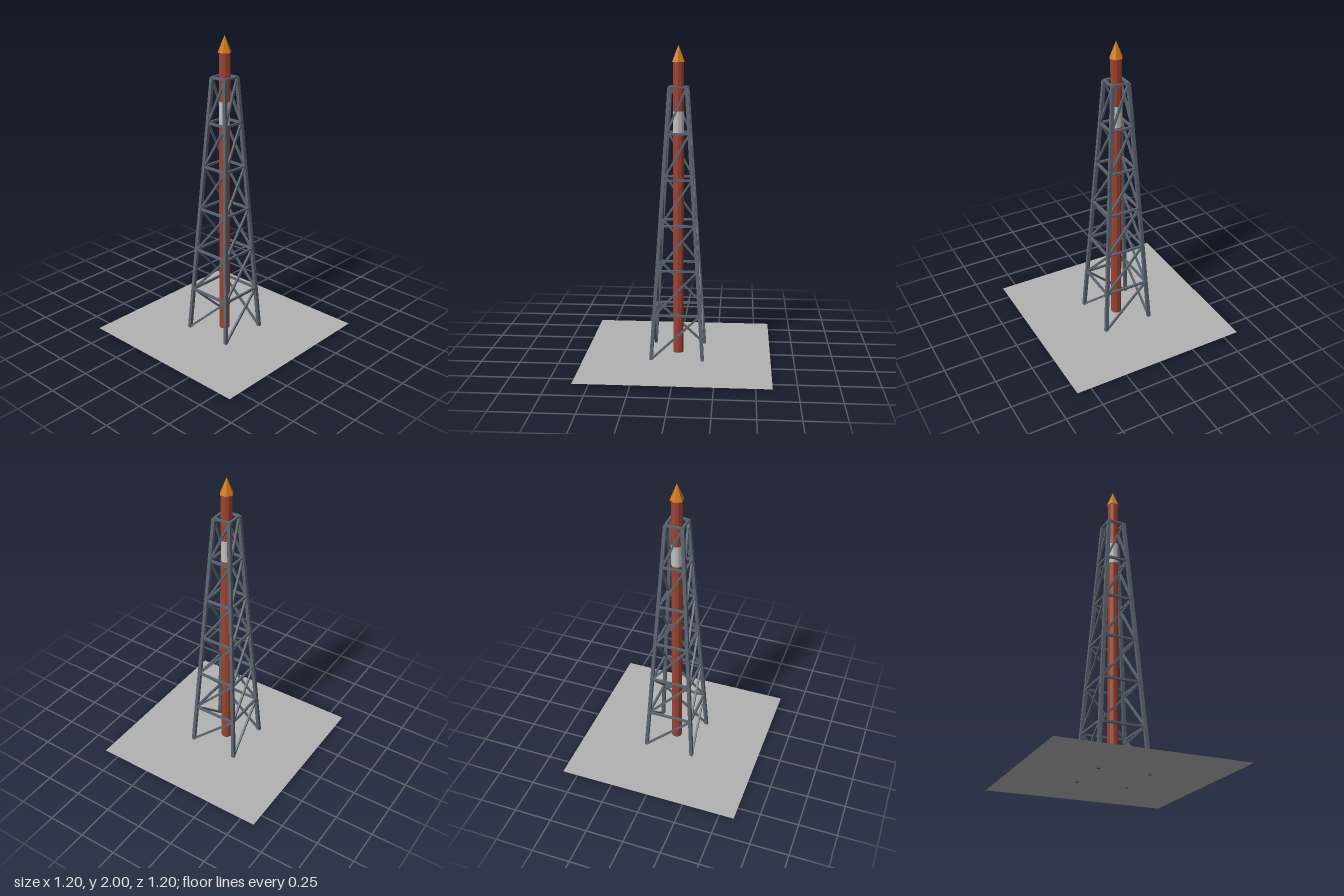
import * as THREE from 'three';

const material = (name, color, extra = {}) => {
  const m = new THREE.MeshStandardMaterial({ color, flatShading: true, ...extra });
  m.name = name;
  return m;
};

export function createModel() {
  const steel = material('steel', 0x5c6570);
  const red = material('pipe red', 0x9c432f);
  const pale = material('pale band', 0xc0c0c0);
  const orange = material('orange tip', 0xd27a1c);
  const ground = material('ground grey', 0xb2b2b2, { side: THREE.DoubleSide });

  const model = new THREE.Group();
  model.name = 'latticeTower';

  const add = (parent, name, geometry, mat, y = 0) => {
    const mesh = new THREE.Mesh(geometry, mat);
    mesh.name = name;
    mesh.position.y = y;
    parent.add(mesh);
    return mesh;
  };

  // Square bar between two points
  const up = new THREE.Vector3(0, 1, 0);
  const bar = (parent, name, a, b, size) => {
    const dir = b.clone().sub(a);
    const mesh = add(parent, name, new THREE.BoxGeometry(size, dir.length(), size), steel);
    mesh.position.copy(a).add(b).multiplyScalar(0.5);
    mesh.quaternion.setFromUnitVectors(up, dir.normalize());
  };

  // Ground sheet
  add(model, 'groundPlate', new THREE.PlaneGeometry(1.2, 1.2).rotateX(-Math.PI / 2), ground, 0.01);

  // Central pipe with a pale band and a six-sided tip
  const pipe = (name, y0, y1, mat) =>
    add(model, name, new THREE.CylinderGeometry(0.035, 0.035, y1 - y0, 10), mat, (y0 + y1) / 2);
  pipe('lowerPipe', 0.01, 1.445, red);
  pipe('paleBand', 1.445, 1.59, pale);
  pipe('upperPipe', 1.59, 1.895, red);
  add(model, 'tip', new THREE.ConeGeometry(0.044, 0.105, 6), orange, 1.9475);

  // Four identical tapering sides: one leg, plus a brace and a rail per bay
  const bays = 6, bottom = 0.01, top = 1.74;
  const corner = (side, level) => {
    const t = level / bays;
    const half = THREE.MathUtils.lerp(0.165, 0.054, t);
    return new THREE.Vector3(side * half, THREE.MathUtils.lerp(bottom, top, t), half);
  };
  for (let i = 0; i < 4; i++) {
    const side = new THREE.Group();
    side.name = 'towerSide' + (i + 1);
    side.rotation.y = (i * Math.PI) / 2;
    const foot = corner(-1, 0);
    foot.y = 0.001;
    bar(side, 'leg', foot, corner(-1, bays), 0.022);
    for (let k = 0; k < bays; k++) {
      bar(side, 'brace', corner(-1, k), corner(1, k + 1), 0.013);
      bar(side, 'rail', corner(-1, k + 1), corner(1, k + 1), 0.014);
    }
    model.add(side);
  }
  return model;
}
